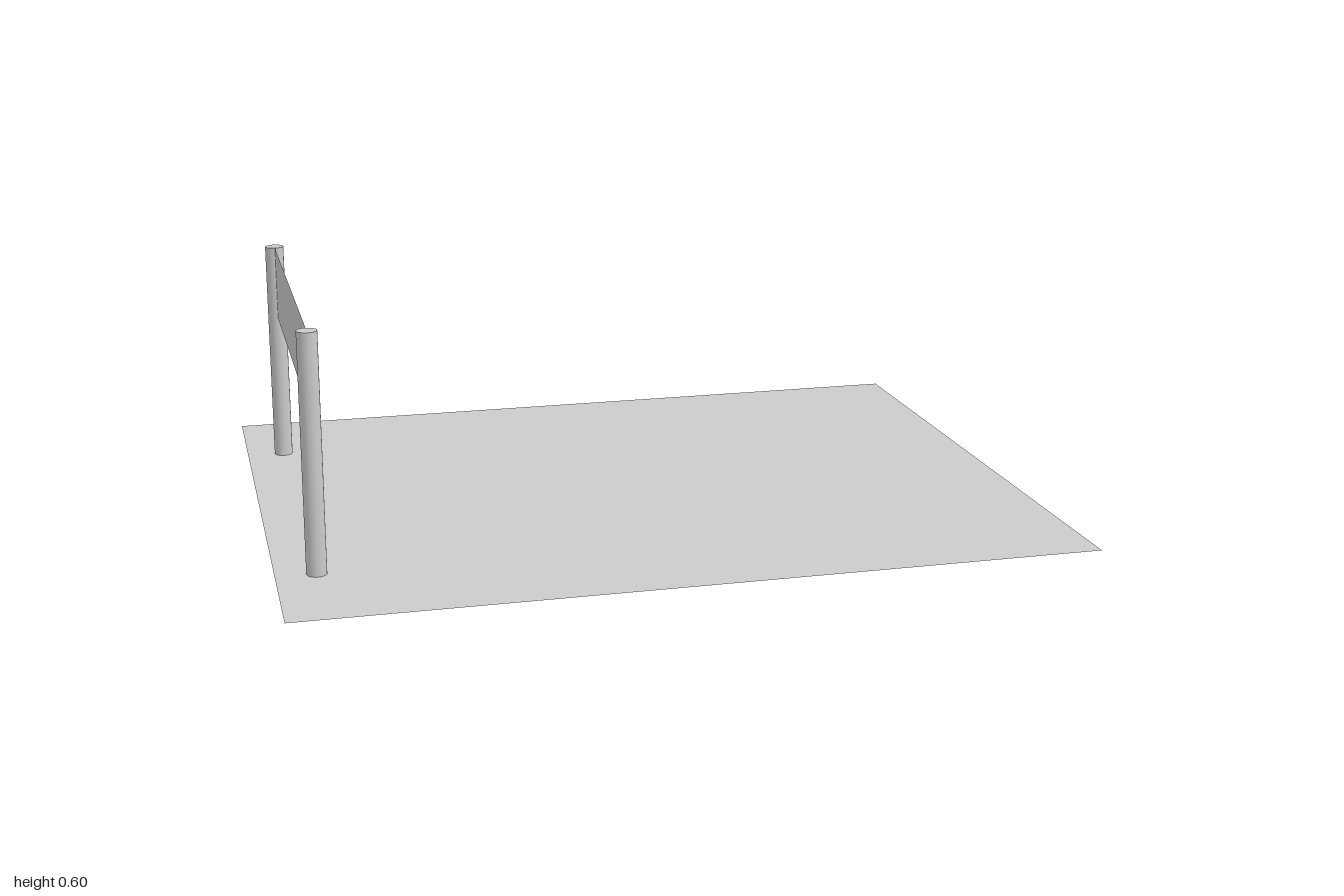
import * as THREE from 'three';

export function createModel() {
  const group = new THREE.Group();
  const solid = new THREE.MeshStandardMaterial({ color: 0xcccccc });
  const sheet = new THREE.MeshStandardMaterial({ color: 0xcccccc, side: THREE.DoubleSide });

  const add = (name, geometry, material, x, y, z) => {
    const mesh = new THREE.Mesh(geometry, material);
    mesh.name = name;
    mesh.position.set(x, y, z);
    group.add(mesh);
  };

  // Thin ground sheet
  add('floor', new THREE.PlaneGeometry(2, 1.6).rotateX(-Math.PI / 2), sheet, 0, 0, 0);

  // Two round posts
  const postGeometry = new THREE.CylinderGeometry(0.025, 0.025, 0.6, 32);
  for (const [name, z] of [['frontPost', 0.5], ['backPost', -0.5]]) {
    add(name, postGeometry, solid, -0.9, 0.3, z);
  }

  // Thin panel stretched between the posts
  add('panel', new THREE.PlaneGeometry(1, 0.2).rotateY(Math.PI / 2), sheet, -0.9, 0.5, 0);

  return group;
}
